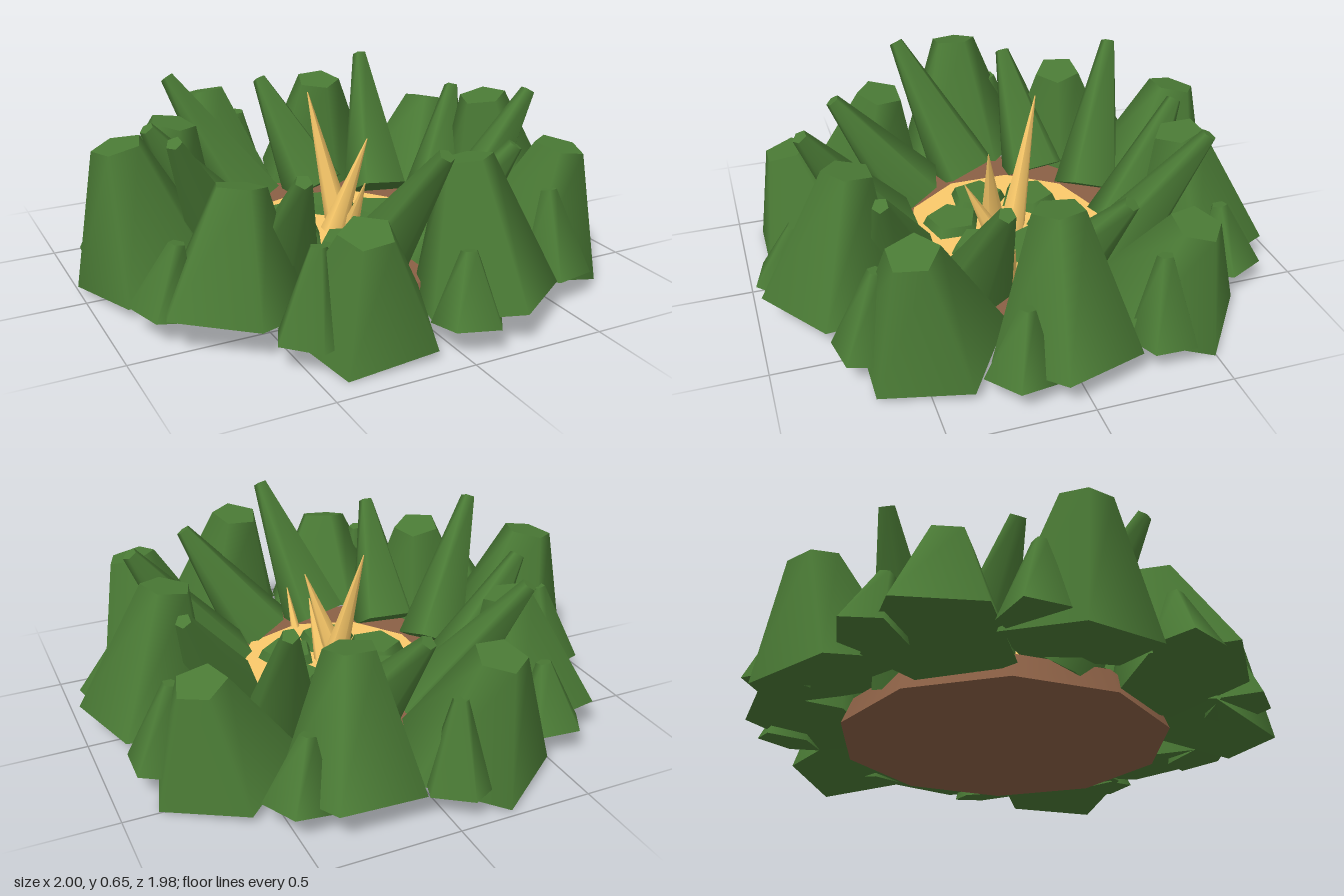
import * as THREE from 'three';

const green = new THREE.MeshStandardMaterial({ color: 0x4a7a35 });
const brown = new THREE.MeshStandardMaterial({ color: 0x8b6045 });
const wood = new THREE.MeshStandardMaterial({ color: 0xfbca6a });
const UP = new THREE.Vector3(0, 1, 0);

// point at an angle (degrees, from +x towards +z), a radius and a height
function polar(deg, r, y) {
  const a = THREE.MathUtils.degToRad(deg);
  return new THREE.Vector3(r * Math.cos(a), y, r * Math.sin(a));
}

// tapered prism running from one point to another
function taper(name, from, to, rBottom, rTop, sides, material, turn = 0) {
  const axis = to.clone().sub(from);
  const geo = new THREE.CylinderGeometry(rTop, rBottom, axis.length(), sides, 1, false, turn);
  const mesh = new THREE.Mesh(geo, material);
  mesh.name = name;
  mesh.position.copy(from).add(to).multiplyScalar(0.5);
  mesh.quaternion.setFromUnitVectors(UP, axis.normalize());
  return mesh;
}

export function createModel() {
  const model = new THREE.Group();
  model.name = 'mossyStump';

  // low stump with a pale cut top
  const stump = taper('stump', polar(0, 0, 0), polar(0, 0, 0.1), 0.625, 0.585, 10, brown);
  const cutTop = taper('cutTop', polar(0, 0, 0.09), polar(0, 0, 0.115), 0.395, 0.39, 10, wood);
  stump.position.x = cutTop.position.x = 0.012;
  model.add(stump, cutTop);

  // moss pads on the cut top
  for (let i = 0; i < 6; i++) {
    const a = 43 + 61 * i;
    model.add(taper('mossPad', polar(a, 0.205, 0.1), polar(a, 0.205, 0.15), 0.125, 0.1, 5, green, i * 0.9));
  }

  // splinters: base x, y, z, then tip x, y, z, then radius
  const splinters = [
    [0.03, 0.1, -0.02, -0.05, 0.63, -0.14, 0.055],
    [-0.03, 0.11, 0.04, 0.09, 0.485, 0.09, 0.05],
    [0.03, 0.11, 0.06, 0.04, 0.34, 0.17, 0.035],
    [0.38, 0.1, 0.1, 0.53, 0.35, 0.13, 0.03],
    [0.02, 0.1, 0.37, 0.02, 0.26, 0.46, 0.02],
    [0.24, 0.1, -0.32, 0.32, 0.24, -0.45, 0.02],
  ];
  for (const [a, b, c, d, e, f, r] of splinters) {
    model.add(taper('splinter', new THREE.Vector3(a, b, c), new THREE.Vector3(d, e, f), r, 0.002, 6, wood));
  }

  // ring of ten large tufts, alternately leaning inwards and outwards
  const heights = [0.57, 0.5, 0.56, 0.43, 0.49, 0.56, 0.5, 0.5, 0.54, 0.44];
  heights.forEach((h, i) => {
    const a = 2 + 36 * i;
    const outer = i % 2 === 1;
    model.add(outer
      ? taper('outerTuft', polar(a, 0.74, 0.068), polar(a, 0.84, h), 0.28, 0.095, 5, green, Math.PI)
      : taper('innerTuft', polar(a - 1, 0.745, 0.07), polar(a, 0.655, h), 0.27, 0.095, 5, green));
  });

  // slender spikes rising outwards from the rim, tall and medium
  for (let i = 0; i < 5; i++) {
    const a = 89 + 72 * i;
    model.add(taper('tallSpike', polar(a + 15, 0.46, 0.11), polar(a, 0.765, 0.63), 0.145, 0.03, 5, green, i));
    model.add(taper('mediumSpike', polar(a - 19, 0.46, 0.11), polar(a - 36, 0.71, 0.55), 0.145, 0.03, 5, green, i));
  }

  // small tufts in the outer gaps
  for (let i = 0; i < 10; i++) {
    const a = 12.5 + 36 * i;
    const h = i % 2 ? 0.38 : 0.31;
    model.add(taper('smallTuft', polar(a + 1.5, 0.87, 0.07), polar(a, 0.825, h), 0.13, 0.03, 5, green, i * 0.8));
  }
  return model;
}
